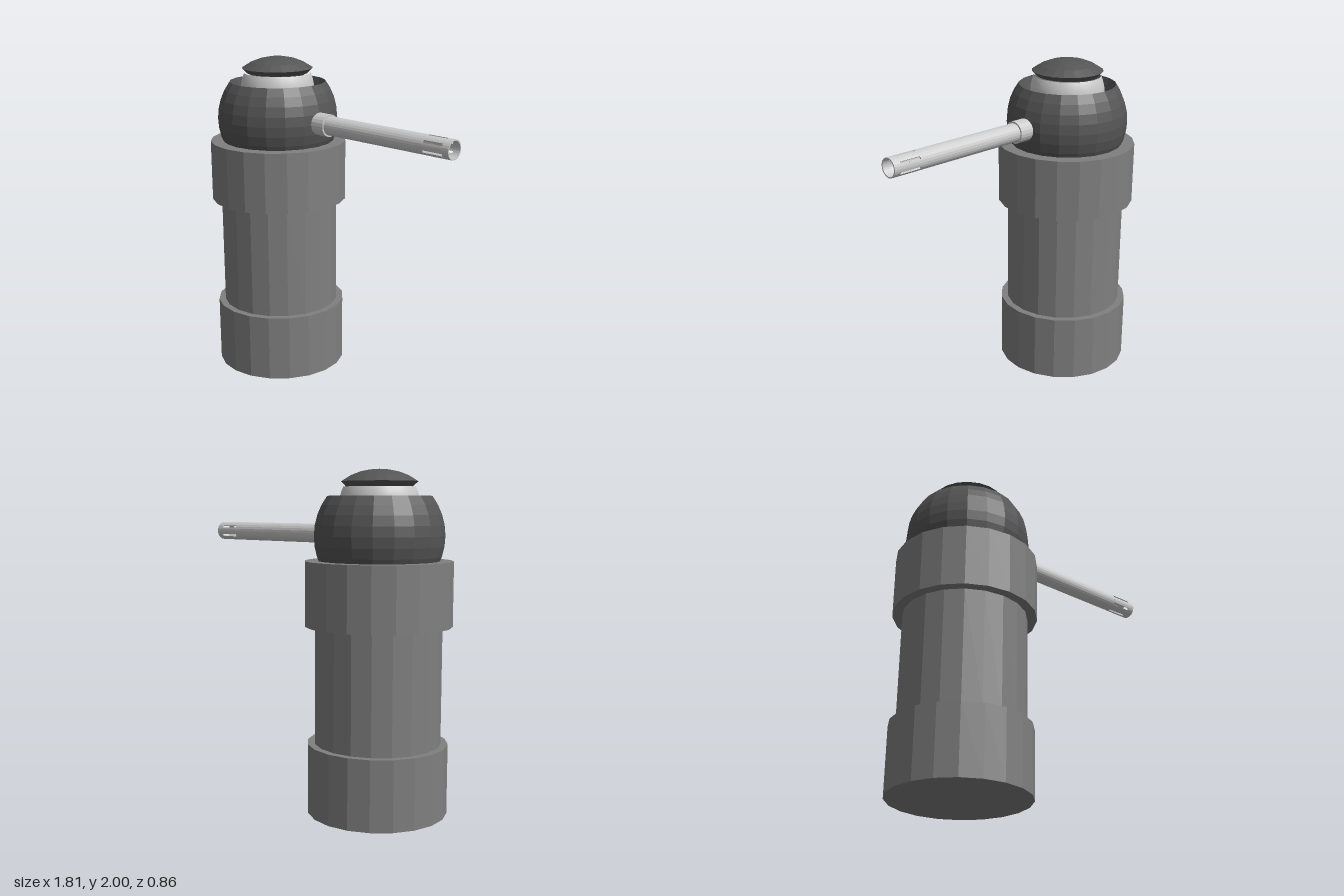
import * as THREE from 'three';

const AXIS_X = -0.48;
const SIDES = 20;

function material(color, flatShading = true) {
  return new THREE.MeshStandardMaterial({ color, flatShading });
}

function add(parent, name, geometry, mat) {
  const mesh = new THREE.Mesh(geometry, mat);
  mesh.name = name;
  parent.add(mesh);
  return mesh;
}

// Revolves [radius, height] pairs about the vertical axis
function lathe(profile, sides = SIDES) {
  return new THREE.LatheGeometry(profile.map(([r, y]) => new THREE.Vector2(r, y)), sides);
}

function drum(radius, bottom, top) {
  return lathe([[0, bottom], [radius, bottom], [radius, top], [0, top]]);
}

export function createModel() {
  const model = new THREE.Group();
  model.name = 'turret';
  const bodyMat = material(0x808080);
  const darkMat = material(0x555555);
  const lightMat = material(0xcccccc);

  const tower = new THREE.Group();
  tower.name = 'tower';
  tower.position.x = AXIS_X;
  model.add(tower);

  // Column
  add(tower, 'base', drum(0.412, 0, 0.415), bodyMat);
  add(tower, 'shaft', drum(0.37, 0.41, 1.11), bodyMat);
  add(tower, 'collar', drum(0.428, 1.105, 1.48), bodyMat);

  // Rotating ball, cut open at the top with a recess inside
  const centreY = 1.62, ballR = 0.377;
  const ball = [];
  const from = Math.asin((1.45 - centreY) / ballR);
  const to = Math.asin((1.848 - centreY) / ballR);
  for (let i = 0; i <= 7; i++) {
    const a = from + (to - from) * i / 7;
    ball.push([ballR * Math.cos(a), centreY + ballR * Math.sin(a)]);
  }
  ball.push([0.275, 1.77], [0.2, 1.72]);
  add(tower, 'turretBall', lathe(ball), darkMat);

  // Light dome held in the recess, closed by a hatch
  const dome = new THREE.SphereGeometry(0.23, SIDES, 10, 0, Math.PI * 2, Math.acos(0.1 / 0.23), 1.1);
  add(tower, 'innerDome', dome, material(0xcccccc, false)).position.y = 1.8;
  add(tower, 'hatch', lathe([
    [0, 1.9], [0.19, 1.9], [0.22, 1.93], [0.165, 1.964], [0.11, 1.985], [0.055, 1.996], [0, 2],
  ]), darkMat);

  // Gun, built upright and then turned to point along +x
  const gun = new THREE.Group();
  gun.name = 'gun';
  gun.position.y = 1.627;
  gun.rotation.z = -Math.PI / 2;
  model.add(gun);

  const outer = 0.0575, bore = 0.05, slotStart = 0.725, slotEnd = 0.86, tip = 0.905;
  add(gun, 'barrelSleeve', lathe([[0, -0.2], [0.068, -0.2], [0.068, -0.02], [0, -0.02]]), lightMat);
  add(gun, 'barrel', lathe([
    [0, -0.05], [outer, -0.05], [outer, slotStart], [bore, slotStart], [bore, 0.65], [0, 0.65],
  ], 24), lightMat);
  add(gun, 'muzzleRing', lathe([
    [bore, slotEnd], [outer, slotEnd], [outer, tip], [bore, tip], [bore, slotEnd],
  ], 24), lightMat);

  // Wall pieces between the six muzzle slots
  const halfSlot = 0.14;
  for (let i = 0; i < 6; i++) {
    const a = i * Math.PI / 3 + halfSlot;
    const b = (i + 1) * Math.PI / 3 - halfSlot;
    const shape = new THREE.Shape();
    shape.absarc(0, 0, outer, a, b, false);
    shape.absarc(0, 0, bore, b, a, true);
    const wall = new THREE.ExtrudeGeometry(shape, {
      depth: slotEnd - slotStart, bevelEnabled: false, curveSegments: 4,
    });
    wall.rotateX(-Math.PI / 2);
    wall.translate(0, slotStart, 0);
    add(gun, 'muzzleWall' + (i + 1), wall, lightMat);
  }

  return model;
}
